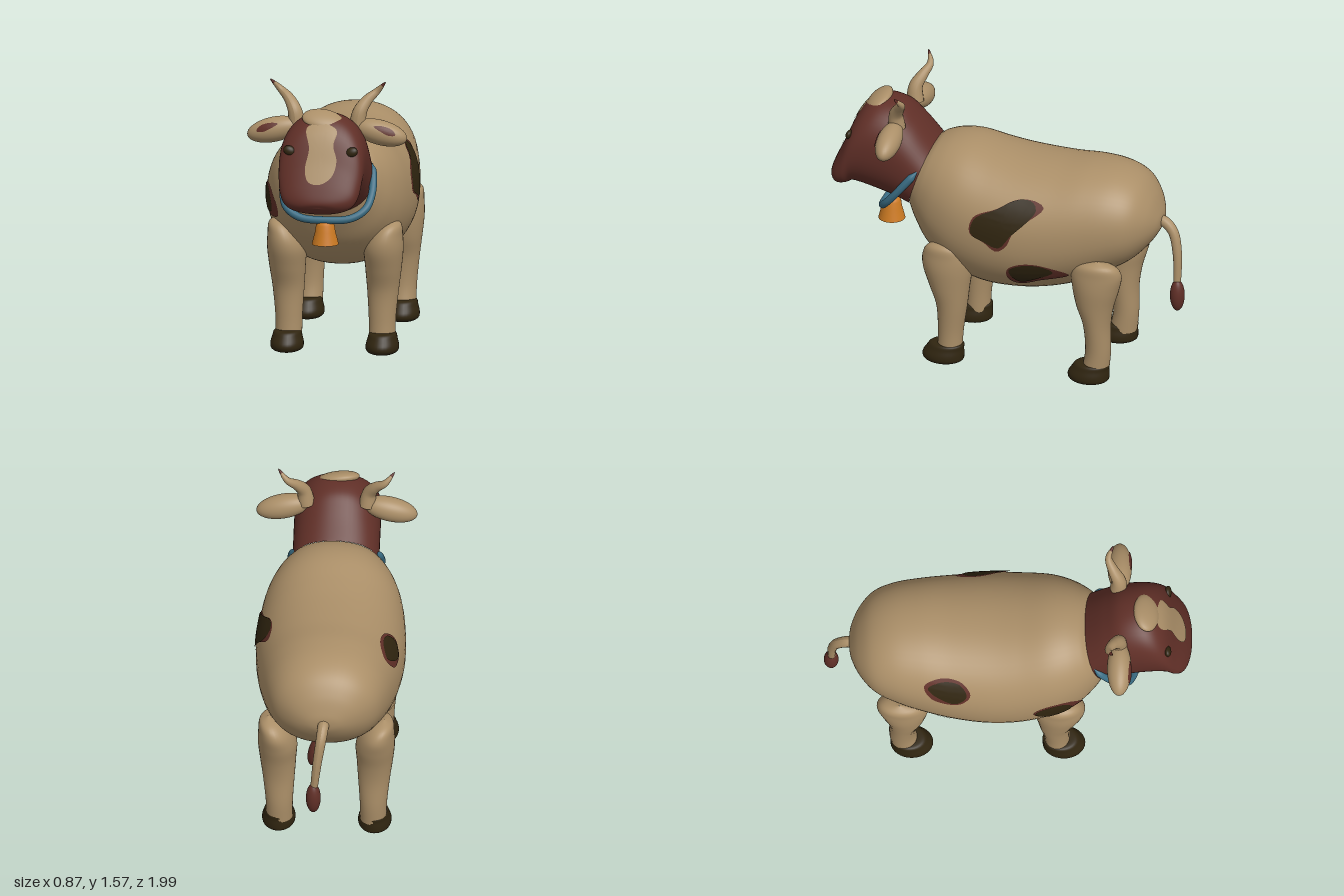
import * as THREE from 'three';

const V = (x, y, z) => new THREE.Vector3(x, y, z);
const mat = (name, color) => {
  const m = new THREE.MeshStandardMaterial({ color });
  m.name = name;
  return m;
};

// Smooth skin over sections {c, u, v}: centre and the two half-axes of a rounded ring.
function loft(sections, steps, sides = 48, power = 2) {
  const path = (key) => new THREE.CatmullRomCurve3(sections.map((s) => s[key]), false, 'catmullrom', 0.5);
  const [pc, pu, pv] = ['c', 'u', 'v'].map(path);
  const round = (a) => Math.sign(a) * Math.abs(a) ** (2 / power);
  const pos = [], idx = [];
  for (let i = 0; i <= steps; i++) {
    const t = i / steps, c = pc.getPoint(t), u = pu.getPoint(t), v = pv.getPoint(t);
    for (let j = 0; j < sides; j++) {
      const a = (j / sides) * Math.PI * 2;
      const p = c.clone().addScaledVector(u, round(Math.cos(a))).addScaledVector(v, round(Math.sin(a)));
      pos.push(p.x, p.y, p.z);
      if (i === steps) continue;
      const k = (j + 1) % sides, A = i * sides + j, B = i * sides + k;
      idx.push(A, B, B + sides, A, B + sides, A + sides);
    }
  }
  const g = new THREE.BufferGeometry();
  g.setAttribute('position', new THREE.Float32BufferAttribute(pos, 3));
  g.setIndex(idx);
  g.computeVertexNormals();
  return g;
}

// Section from its top (z, y), bottom (z, y) and half width.
const slice = ([tz, ty, bz, by, w]) => ({
  c: V(0, (ty + by) / 2, (tz + bz) / 2), u: V(w, 0, 0), v: V(0, (ty - by) / 2, (tz - bz) / 2),
});
// Level section of a limb: height, centre x and z, half widths.
const level = (side) => ([y, x, z, rx, rz]) => ({ c: V(side * x, y, z), u: V(rx, 0, 0), v: V(0, 0, -rz) });

function ellipsoid(rx, ry, rz, at, tiltX = 0, tiltZ = 0) {
  return new THREE.SphereGeometry(1, 36, 24).scale(rx, ry, rz).rotateX(tiltX).rotateZ(tiltZ).translate(...at);
}

// Tube whose radius follows a rule along its length.
function taperTube(points, radius, segs = 32, sides = 16) {
  const curve = new THREE.CatmullRomCurve3(points);
  const g = new THREE.TubeGeometry(curve, segs, 1, sides);
  const p = g.attributes.position, q = V(0, 0, 0);
  for (let i = 0; i < p.count; i++) {
    const t = Math.floor(i / (sides + 1)) / segs, c = curve.getPointAt(t);
    q.fromBufferAttribute(p, i).sub(c).multiplyScalar(radius(t)).add(c);
    p.setXYZ(i, q.x, q.y, q.z);
  }
  g.computeVertexNormals();
  return g;
}

// Thin marking: a closed outline laid on the target's surface as seen from direction `from`.
// Outline is (x, y) from the front, (z, y) from the sides.
function marking(target, from, outline, lift = 0.004) {
  const pts = new THREE.CatmullRomCurve3(outline.map(([a, b]) => V(a, b, 0)), true).getSpacedPoints(48).slice(0, -1);
  if (THREE.ShapeUtils.area(pts) * (from.x > 0 ? -1 : 1) < 0) pts.reverse();
  const mid = pts.reduce((s, p) => s.add(p), V(0, 0, 0)).divideScalar(pts.length);
  const ray = new THREE.Raycaster(), back = from.clone().negate();
  const pos = [], idx = [], rings = 6, n = pts.length;
  let last = V(0, 0, 0);
  const drop = (p) => {
    const start = from.z ? V(p.x, p.y, 0) : V(0, p.y, p.x);
    ray.set(start.addScaledVector(from, 3), back);
    const hit = ray.intersectObject(target)[0];
    if (hit) last = hit.point.clone().addScaledVector(hit.face.normal, lift);
    pos.push(last.x, last.y, last.z);
  };
  drop(mid);
  for (let r = 1; r <= rings; r++) {
    pts.forEach((p, j) => {
      drop(mid.clone().lerp(p, r / rings));
      const k = (j + 1) % n, o = 1 + (r - 1) * n, i = o - n;
      if (r === 1) idx.push(0, o + j, o + k);
      else idx.push(i + j, o + j, o + k, i + j, o + k, i + k);
    });
  }
  const g = new THREE.BufferGeometry();
  g.setAttribute('position', new THREE.Float32BufferAttribute(pos, 3));
  g.setIndex(idx);
  g.computeVertexNormals();
  return g;
}

export function createModel() {
  const model = new THREE.Group();
  model.name = 'cow';
  const tan = mat('tan hide', 0xab8f68), red = mat('red brown hide', 0x602f27), dark = mat('dark brown', 0x302510);
  const blue = mat('blue collar', 0x3a6d84), orange = mat('orange bell', 0xcc7a22);
  const add = (name, geometry, material) => {
    const m = new THREE.Mesh(geometry, material);
    m.name = name;
    model.add(m);
    return m;
  };
  const front = V(0, 0, 1), left = V(1, 0, 0), right = V(-1, 0, 0);

  // Body, from rump to neck
  const body = add('body', loft([
    [-0.86, 0.911, -0.86, 0.909, 0.001], [-0.85, 0.965, -0.845, 0.85, 0.09], [-0.81, 1.06, -0.79, 0.765, 0.19],
    [-0.74, 1.145, -0.7, 0.675, 0.275], [-0.63, 1.195, -0.58, 0.6, 0.325], [-0.48, 1.21, -0.43, 0.52, 0.36],
    [-0.3, 1.2, -0.27, 0.47, 0.388], [-0.1, 1.205, -0.1, 0.445, 0.405], [0.05, 1.225, 0.1, 0.45, 0.4],
    [0.2, 1.257, 0.28, 0.51, 0.375], [0.3, 1.257, 0.42, 0.62, 0.33], [0.38, 1.235, 0.5, 0.74, 0.275],
    [0.42, 1.21, 0.545, 0.835, 0.232],
  ].map(slice), 84, 56, 2.15), tan);

  // Head and neck, from collar line to nose
  const head = add('head', loft([
    [0.418, 1.212, 0.545, 0.833, 0.235], [0.52, 1.33, 0.64, 0.865, 0.235], [0.61, 1.405, 0.74, 0.89, 0.235],
    [0.74, 1.42, 0.82, 0.91, 0.234], [0.84, 1.345, 0.87, 0.92, 0.23], [0.92, 1.17, 0.9, 0.91, 0.218],
    [0.975, 1.05, 0.935, 0.91, 0.185], [0.998, 0.985, 0.965, 0.925, 0.11], [0.99, 0.956, 0.99, 0.954, 0.001],
  ].map(slice), 64, 56, 2.2), red);

  add('blaze', marking(head, front, [[-0.08, 1.36], [-0.06, 1.26], [-0.077, 1.15], [-0.055, 1.09], [0.01, 1.08],
    [0.07, 1.12], [0.092, 1.2], [0.07, 1.28], [0.085, 1.35], [0, 1.385]]), tan);
  add('forelock', ellipsoid(0.113, 0.036, 0.075, [-0.004, 1.395, 0.75], 0.5, -0.14), tan);

  // Coat patches: red-brown rim with a dark centre
  const patch = (from, rim, centre) => {
    add('patchRim', marking(body, from, rim), red);
    add('patchCentre', marking(body, from, centre, 0.008), dark);
  };
  patch(left,
    [[-0.285, 1.045], [-0.24, 1.07], [-0.13, 1.07], [-0.03, 1.02], [0.1, 0.96], [0.115, 0.87], [0.035, 0.83],
      [-0.035, 0.785], [-0.09, 0.82], [-0.14, 0.92]],
    [[-0.245, 1.03], [-0.22, 1.066], [-0.13, 1.068], [-0.03, 1.018], [0.09, 0.955], [0.108, 0.87], [0.035, 0.835],
      [-0.05, 0.81], [-0.12, 0.89]]);
  patch(left,
    [[-0.09, 0.67], [-0.16, 0.715], [-0.27, 0.72], [-0.42, 0.655], [-0.26, 0.605], [-0.14, 0.565], [-0.09, 0.595]],
    [[-0.1, 0.67], [-0.17, 0.712], [-0.28, 0.715], [-0.34, 0.68], [-0.25, 0.625], [-0.15, 0.59], [-0.115, 0.62]]);
  patch(right,
    [[-0.45, 1.06], [-0.36, 1.1], [-0.24, 1.08], [-0.2, 1.02], [-0.27, 0.95], [-0.4, 0.97]],
    [[-0.43, 1.05], [-0.35, 1.085], [-0.25, 1.07], [-0.22, 1.015], [-0.28, 0.96], [-0.36, 0.985]]);
  patch(right,
    [[-0.5, 0.67], [-0.42, 0.73], [-0.31, 0.72], [-0.27, 0.67], [-0.34, 0.61], [-0.46, 0.61]],
    [[-0.48, 0.67], [-0.42, 0.72], [-0.33, 0.71], [-0.31, 0.67], [-0.36, 0.64], [-0.45, 0.63]]);
  patch(right,
    [[0.14, 0.86], [0.2, 0.92], [0.33, 0.92], [0.4, 0.84], [0.38, 0.77], [0.24, 0.76]],
    [[0.15, 0.86], [0.2, 0.91], [0.3, 0.915], [0.345, 0.85], [0.33, 0.79], [0.24, 0.775]]);

  // Legs: height, centre x, centre z, half widths
  const foreleg = [[0.08, 0.255, 0.27, 0.072, 0.068], [0.2, 0.255, 0.265, 0.074, 0.07], [0.35, 0.258, 0.258, 0.086, 0.085],
    [0.47, 0.262, 0.27, 0.098, 0.112], [0.58, 0.265, 0.28, 0.106, 0.137], [0.66, 0.278, 0.282, 0.09, 0.133],
    [0.72, 0.3, 0.285, 0.06, 0.092], [0.75, 0.315, 0.285, 0.001, 0.001]];
  const hindleg = [[0.08, 0.255, -0.555, 0.072, 0.075], [0.2, 0.255, -0.57, 0.074, 0.07], [0.35, 0.258, -0.565, 0.086, 0.075],
    [0.47, 0.262, -0.555, 0.098, 0.103], [0.58, 0.265, -0.56, 0.106, 0.13], [0.67, 0.278, -0.567, 0.09, 0.14],
    [0.73, 0.3, -0.575, 0.06, 0.1], [0.76, 0.315, -0.585, 0.001, 0.001]];
  // Hoof: height, scale, backward shift of the ring
  const hoof = [[0.004, 0.02, 0], [0.008, 0.6, 0], [0.025, 0.95, 0], [0.055, 1, 0], [0.09, 0.9, 0.01],
    [0.115, 0.82, 0.02], [0.122, 0.6, 0.025], [0.122, 0.02, 0.025]];

  for (const s of [1, -1]) {
    for (const [name, rows, hz] of [['front', foreleg, 0.305], ['hind', hindleg, -0.518]]) {
      add(name + 'Leg', loft(rows.map(level(s)), 40, 32), tan);
      add(name + 'Hoof', loft(hoof.map(([y, k, d]) => level(s)([y, 0.26, hz - d, 0.09 * k, 0.115 * k])), 28, 32), dark);
    }

    // Ears with inner marking
    const ear = add('ear', ellipsoid(0.15, 0.068, 0.066, [s * 0.29, 1.3, 0.605], 0, -s * 0.24), tan);
    add('innerEar', marking(ear, front, [[0.262, 1.342], [0.31, 1.343], [0.365, 1.32], [0.378, 1.297], [0.345, 1.296],
      [0.305, 1.315]].map(([x, y]) => [s * x, y])), red);

    // Horns with coloured tips
    const horn = taperTube([[0.165, 1.33, 0.6], [0.178, 1.41, 0.6], [0.215, 1.47, 0.57], [0.265, 1.515, 0.545],
      [0.315, 1.572, 0.57]].map(([x, y, z]) => V(s * x, y, z)), (t) => 0.002 + 0.046 * (1 - t) ** 0.75);
    const cut = 29 * 16 * 6;
    horn.addGroup(0, cut, 0);
    horn.addGroup(cut, horn.index.count - cut, 1);
    add('horn', horn, [tan, red]);

    // Eyes sit on the face surface
    const hit = new THREE.Raycaster(V(s * 0.17, 1.245, 3), V(0, 0, -1)).intersectObject(head)[0];
    add('eye', ellipsoid(0.034, 0.026, 0.018, [s * 0.17, 1.245, hit.point.z], -0.3, s * 0.35), dark);
  }

  // Tail and tuft
  add('tail', taperTube([V(0, 0.9, -0.82), V(0.003, 0.9, -0.865), V(0.012, 0.85, -0.918), V(0.03, 0.73, -0.948),
    V(0.05, 0.54, -0.953)], (t) => 0.032 - 0.012 * t), tan);
  add('tailTuft', ellipsoid(0.04, 0.092, 0.04, [0.052, 0.49, -0.955]), red);

  add('udder', ellipsoid(0.04, 0.1, 0.045, [0.058, 0.5, -0.53], 0, 0.25), red);

  // Collar hanging round the throat, and bell
  const half = [[0.222, 1.1, 0.47], [0.24, 1.04, 0.52], [0.242, 0.95, 0.592], [0.215, 0.88, 0.652], [0.14, 0.836, 0.688]];
  const strap = [...half.map((p) => V(...p)), V(0, 0.825, 0.698), ...half.map(([x, y, z]) => V(-x, y, z)).reverse()];
  add('collar', taperTube(strap, (t) => 0.021 * Math.min(1, 0.2 + 20 * Math.min(t, 1 - t)), 72), blue);
  const bell = [[0, 0.69], [0.073, 0.69], [0.073, 0.69], [0.055, 0.76], [0.05, 0.795], [0.042, 0.81], [0.03, 0.815], [0, 0.815]];
  add('bell', new THREE.LatheGeometry(bell.map(([r, y]) => new THREE.Vector2(r, y)), 36).translate(0, 0, 0.68), orange);

  return model;
}
